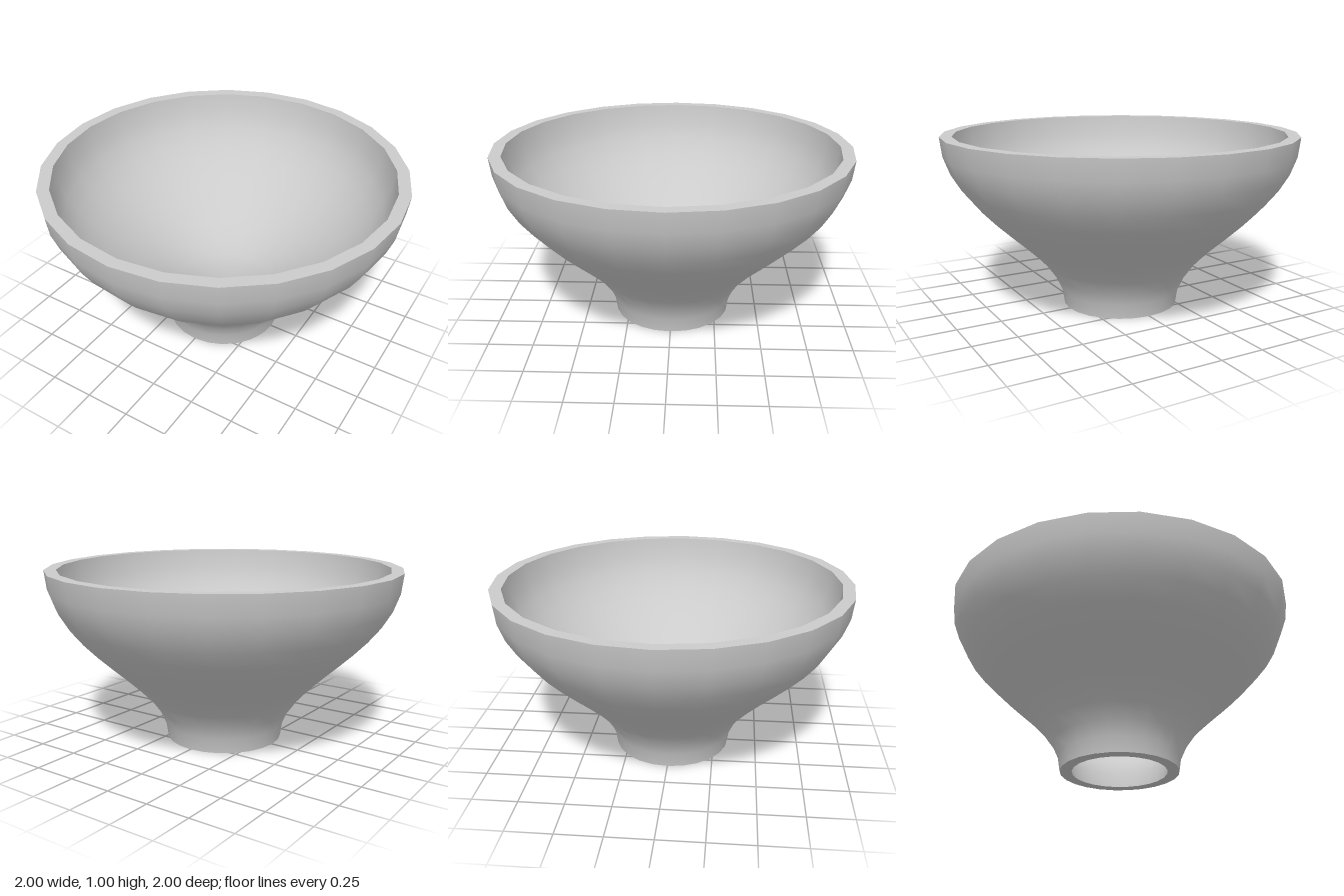
import * as THREE from 'three';

const SIDES = 24;
const WALL = 1 / 15;

export function createModel() {
  const group = new THREE.Group();
  group.name = 'funnelBowl';
  const material = new THREE.MeshStandardMaterial({ color: 0xcccccc });

  // S-shaped wall profile, upright at both the neck and the rim
  const outer = new THREE.CubicBezierCurve(
    new THREE.Vector2(1 / 3, 0),
    new THREE.Vector2(1 / 3, 0.35),
    new THREE.Vector2(1, 0.55),
    new THREE.Vector2(1, 1)
  ).getPoints(12);
  const inner = outer.map((p) => new THREE.Vector2(p.x - WALL, p.y)).reverse();

  // Each surface is its own lathe so the rim and base edges stay sharp
  const addLathe = (name, points) => {
    const mesh = new THREE.Mesh(new THREE.LatheGeometry(points, SIDES), material);
    mesh.name = name;
    group.add(mesh);
  };

  addLathe('outerWall', outer);
  addLathe('topRim', [outer[outer.length - 1], inner[0]]);
  addLathe('innerWall', inner);
  addLathe('bottomRim', [inner[inner.length - 1], outer[0]]);

  return group;
}
